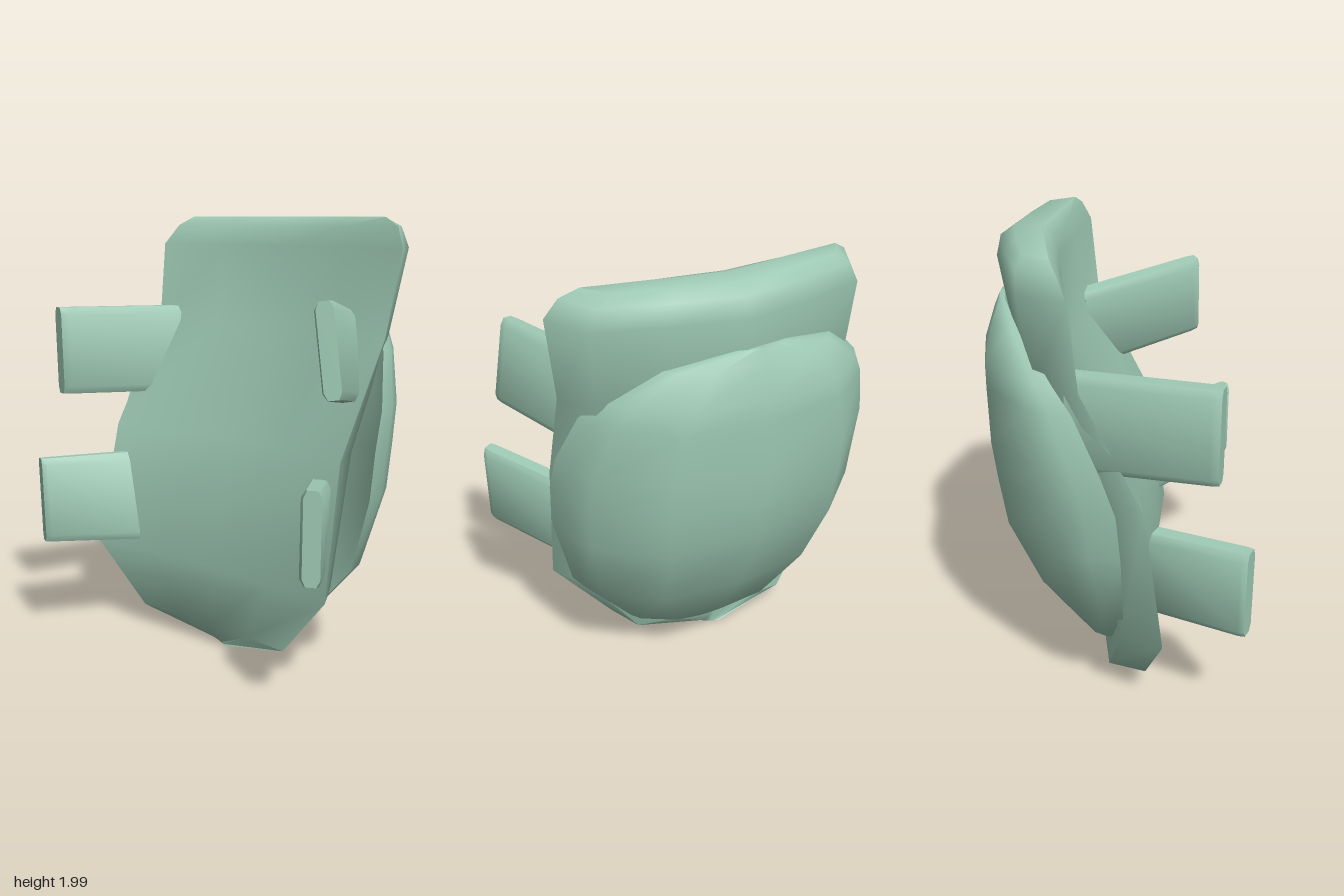
import * as THREE from 'three';
import { toCreasedNormals } from 'three/addons/utils/BufferGeometryUtils.js';

const material = new THREE.MeshStandardMaterial({ color: 0x9fcab5 });

// Closed skin through a stack of equal-length rings, capped at both ends
function loft(rings, crease) {
  const n = rings[0].length;
  const points = rings.flat();
  const index = [];
  for (let i = 0; i < rings.length - 1; i++) {
    for (let j = 0; j < n; j++) {
      const a = i * n + j, b = i * n + (j + 1) % n;
      index.push(a, b, b + n, a, b + n, a + n);
    }
  }
  [0, rings.length - 1].forEach((r) => {
    const mid = new THREE.Vector3();
    rings[r].forEach((p) => mid.addScaledVector(p, 1 / n));
    const c = points.push(mid) - 1;
    for (let j = 0; j < n; j++) {
      const a = r * n + j, b = r * n + (j + 1) % n;
      if (r) index.push(c, a, b);
      else index.push(c, b, a);
    }
  });
  const geometry = new THREE.BufferGeometry().setFromPoints(points);
  geometry.setIndex(index);
  return toCreasedNormals(geometry, crease);
}

function addMesh(group, name, geometry) {
  const mesh = new THREE.Mesh(geometry, material);
  mesh.name = name;
  group.add(mesh);
}

// Body plate: hollow towards the front, thicker along the spine
// rows: y, right x, left x, front edge z, front centre z, back centre z, back edge z
function bodyPlate() {
  const rows = [
    [0.01, -0.13, -0.03, 0.08, 0.08, -0.02, -0.01],
    [0.11, -0.53, 0.37, 0.155, 0.14, -0.06, 0.0],
    [0.41, -0.78, 0.64, 0.22, 0.17, -0.08, 0.07],
    [1.0, -0.71, 0.65, 0.14, 0.05, -0.27, -0.04],
    [1.5, -0.66, 0.69, -0.12, -0.2, -0.45, -0.26],
    [1.87, -0.66, 0.74, -0.16, -0.25, -0.52, -0.33],
    [1.96, -0.6, 0.69, -0.2, -0.27, -0.5, -0.34],
    [2.0, -0.53, 0.61, -0.23, -0.31, -0.44, -0.32],
  ];
  return loft(rows.map(([y, xr, xl, fe, fc, bc, be]) => {
    const mid = (xl + xr) / 2, half = (xl - xr) / 2;
    const at = (u, z) => new THREE.Vector3(mid + u * half, y, z + 0.025 * u);
    return [
      ...[-1, -0.5, 0, 0.5, 1].map((u) => at(u, fc + (fe - fc) * Math.abs(u) ** 1.3)),
      ...[0.86, 0.45, 0, -0.45, -0.86].map((u) => at(u, bc + (be - bc) * Math.abs(u) ** 1.3)),
    ];
  }), 1.1);
}

// Domed back shell with a bowed rim
// rows: y, half width, rim z, back centre z
function backShell() {
  const rows = [
    [0.13, 0.1, -0.06, -0.09],
    [0.24, 0.42, 0.0, -0.21],
    [0.5, 0.66, 0.03, -0.37],
    [0.82, 0.74, 0.02, -0.52],
    [1.03, 0.75, 0.0, -0.555],
    [1.2, 0.74, -0.06, -0.575],
    [1.43, 0.67, -0.17, -0.577],
    [1.53, 0.6, -0.25, -0.575],
    [1.67, 0.4, -0.38, -0.53],
    [1.73, 0.12, -0.47, -0.505],
  ];
  const us = [1, 0.97, 0.9, 0.55, 0, -0.55, -0.9, -0.97, -1];
  return loft(rows.map(([y, half, rim, back]) => {
    const at = (u, z) => new THREE.Vector3(-0.035 + u * half, y, z);
    return [
      ...[-0.9, -0.5, 0, 0.5, 0.9].map((u) => at(u, rim + (back - rim) * 0.6 * (1 - u * u))),
      ...us.map((u) => at(u, rim + (back - rim) * (1 - Math.abs(u) ** 3) ** 0.6)),
    ];
  }), 1.1);
}

// Flat tab between four mid-plane corners, with chamfered long edges and tip
function tab(baseTop, baseBottom, tipTop, tipBottom) {
  const [bt, bb, tt, tb] = [baseTop, baseBottom, tipTop, tipBottom].map((p) => new THREE.Vector3(...p));
  const up = bt.clone().sub(bb).add(tt).sub(tb);
  const out = tt.clone().sub(bt).add(tb).sub(bb);
  const across = up.cross(out).normalize();
  const ring = (s, halfThickness) => {
    const top = bt.clone().lerp(tt, s), bottom = bb.clone().lerp(tb, s);
    const at = (v, k) => bottom.clone().lerp(top, v).addScaledVector(across, k * halfThickness);
    return [at(0, 0.6), at(0.08, 1), at(0.92, 1), at(1, 0.6),
      at(1, -0.6), at(0.92, -1), at(0.08, -1), at(0, -0.6)];
  };
  return loft([ring(-0.05, 0.05), ring(0.94, 0.047), ring(1, 0.036)], 0.9);
}

export function createModel() {
  const model = new THREE.Group();
  model.name = 'backArmour';
  addMesh(model, 'bodyPlate', bodyPlate());
  addMesh(model, 'backShell', backShell());

  // Four slightly uneven tabs reaching forward from the plate
  addMesh(model, 'upperLeftTab',
    tab([0.44, 1.6, -0.15], [0.51, 1.2, -0.15], [0.71, 1.685, 0.38], [0.77, 1.305, 0.39]));
  addMesh(model, 'lowerLeftTab',
    tab([0.56, 0.92, 0.18], [0.53, 0.5, 0.18], [0.8, 0.985, 0.56], [0.795, 0.6, 0.56]));
  addMesh(model, 'upperRightTab',
    tab([-0.59, 1.57, -0.16], [-0.58, 1.15, -0.16], [-0.79, 1.585, 0.41], [-0.78, 1.18, 0.41]));
  addMesh(model, 'lowerRightTab',
    tab([-0.62, 0.88, 0.18], [-0.55, 0.46, 0.18], [-0.795, 0.885, 0.545], [-0.78, 0.485, 0.545]));
  return model;
}
